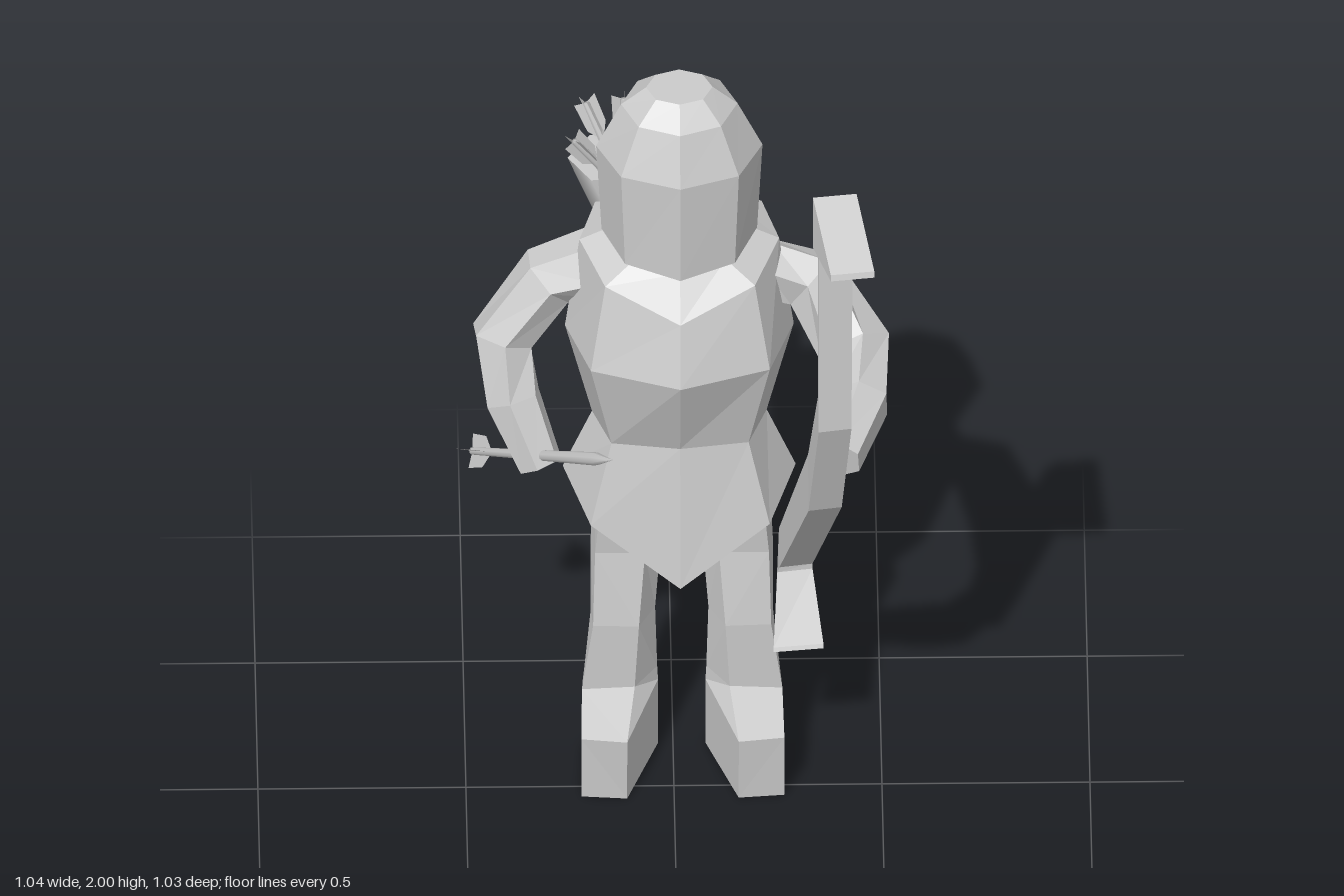
import * as THREE from 'three';
import { toCreasedNormals } from 'three/addons/utils/BufferGeometryUtils.js';

const CX = 0.015; // symmetry plane of the body
const LEG_CX = 0.021; // symmetry plane of the legs
const mat = new THREE.MeshStandardMaterial({ color: 0xcccccc, flatShading: true });
const smooth = new THREE.MeshStandardMaterial({ color: 0xcccccc });
const thin = new THREE.MeshStandardMaterial({ color: 0xcccccc, side: THREE.DoubleSide });
const V = (a) => new THREE.Vector3(...a);

// Skin a list of equal-length rings of [x, y, z], capped, always facing outward
function loft(rings) {
  const n = rings[0].length, pos = rings.flat(2), idx = [];
  for (let r = 0; r < rings.length - 1; r++)
    for (let i = 0; i < n; i++) {
      const a = r * n + i, b = r * n + (i + 1) % n;
      idx.push(a, b, b + n, a, b + n, a + n);
    }
  for (const r of [0, rings.length - 1]) {
    const c = pos.length / 3;
    pos.push(...[0, 1, 2].map((k) => rings[r].reduce((s, p) => s + p[k], 0) / n));
    for (let i = 0; i < n; i++) {
      const a = r * n + i, b = r * n + (i + 1) % n;
      r ? idx.push(a, b, c) : idx.push(b, a, c);
    }
  }
  // signed volume decides the winding
  const at = (i) => V(pos.slice(i * 3, i * 3 + 3));
  let vol = 0;
  for (let i = 0; i < idx.length; i += 3) vol += at(idx[i]).dot(at(idx[i + 1]).cross(at(idx[i + 2])));
  if (vol < 0) idx.reverse();
  const g = new THREE.BufferGeometry();
  g.setAttribute('position', new THREE.Float32BufferAttribute(pos, 3));
  g.setIndex(idx);
  g.computeVertexNormals();
  return g;
}

function add(parent, name, geo, material = mat) {
  const m = new THREE.Mesh(geo, material);
  m.name = name;
  parent.add(m);
  return m;
}

// Full ring from a front-to-back half outline
const mirrorRing = (half) => [
  ...half.map(([x, y, z]) => [CX + x, y, z]),
  ...half.slice(1, -1).reverse().map(([x, y, z]) => [CX - x, y, z]),
];

// Faceted limb: points [x, y, z, radius] along the centre line
function limb(points, ref, sides = 6) {
  const p = points.map((q) => V(q.slice(0, 3)));
  return loft(p.map((c, i) => {
    const t = p[Math.min(i + 1, p.length - 1)].clone().sub(p[Math.max(i - 1, 0)]).normalize();
    const u = new THREE.Vector3().crossVectors(t, ref).normalize();
    const w = new THREE.Vector3().crossVectors(t, u);
    return Array.from({ length: sides }, (_, k) => {
      const a = (k + 0.5) / sides * Math.PI * 2, r = points[i][3];
      return c.clone().addScaledVector(u, Math.cos(a) * r).addScaledVector(w, Math.sin(a) * r).toArray();
    });
  }));
}

// Arrow from tail to tip with four vanes
function arrow(name, tail, tip, r, vaneLength, vaneWidth) {
  const g = new THREE.Group(), a = V(tail), d = V(tip).sub(a), L = d.length();
  g.name = name;
  add(g, 'shaft', new THREE.LatheGeometry(
    [[0, 0], [r * 0.7, 0], [r, L * 0.5], [r * 1.25, L * 0.88], [0, L]].map((q) => new THREE.Vector2(...q)), 8), thin);
  const s = new THREE.Shape([[0, 0], [vaneWidth, -0.01], [vaneWidth * 0.9, vaneLength * 0.6], [0, vaneLength]]
    .map((q) => new THREE.Vector2(...q)));
  for (let i = 0; i < 4; i++) add(g, 'vane', new THREE.ShapeGeometry(s), thin).rotation.y = i * Math.PI / 2 + 0.08;
  g.position.copy(a);
  g.quaternion.setFromUnitVectors(new THREE.Vector3(0, 1, 0), d.normalize());
  return g;
}

export function createModel() {
  const root = new THREE.Group();
  root.name = 'archer';

  // Head: eight-sided rings [y, rx, rz, front drop]
  const head = [[1.6, 0.187, 0.172, 0.06], [1.82, 0.2, 0.178, 0], [1.945, 0.14, 0.13, 0], [1.995, 0.08, 0.07, 0]];
  add(root, 'head', loft(head.map(([y, rx, rz, drop]) => mirrorRing([0, 1, 2, 3, 4].map((k) => {
    const a = k * Math.PI / 4;
    return [Math.sin(a) * rx, y - drop * (1 - k / 4), -0.15 + Math.cos(a) * rz];
  })))));

  // Tunic: pointed hem, waist, chest, yoke, collar, neck
  add(root, 'tunic', loft([
    [[0, 0.635, 0.055], [0.215, 0.795, 0.01], [0.28, 0.84, -0.17], [0.19, 0.77, -0.3], [0, 0.635, -0.43]],
    [[0, 1.02, 0.005], [0.165, 1.02, -0.02], [0.21, 1.02, -0.15], [0.165, 1.02, -0.26], [0, 1.02, -0.31]],
    [[0, 1.27, 0.1], [0.215, 1.28, 0.035], [0.275, 1.28, -0.15], [0.2, 1.28, -0.3], [0, 1.27, -0.34]],
    [[0, 1.43, 0.055], [0.18, 1.5, -0.01], [0.24, 1.53, -0.16], [0.2, 1.51, -0.335], [0, 1.49, -0.385]],
    [[0, 1.53, -0.02], [0.11, 1.55, -0.05], [0.16, 1.57, -0.16], [0.12, 1.56, -0.28], [0, 1.56, -0.31]],
    [[0, 1.62, -0.05], [0.08, 1.62, -0.08], [0.11, 1.62, -0.16], [0.08, 1.62, -0.23], [0, 1.62, -0.26]],
  ].map(mirrorRing)));

  // Legs with out-turned boots
  const legRings = [
    [[0.155, 0, 0.05], [0.265, 0, 0.04], [0.26, 0, -0.15], [0.2, 0, -0.28], [0.12, 0, -0.29], [0.078, 0, -0.17]],
    [[0.155, 0.18, 0.065], [0.265, 0.18, 0.05], [0.26, 0.2, -0.15], [0.2, 0.2, -0.26], [0.12, 0.2, -0.27], [0.078, 0.2, -0.16]],
    [[0.135, 0.235, -0.085], [0.262, 0.225, -0.09], [0.255, 0.24, -0.16], [0.2, 0.25, -0.25], [0.12, 0.25, -0.26], [0.08, 0.24, -0.16]],
    [[0.125, 0.42, -0.08], [0.235, 0.42, -0.085], [0.24, 0.42, -0.15], [0.2, 0.42, -0.24], [0.12, 0.42, -0.245], [0.085, 0.42, -0.16]],
    [[0.11, 0.62, -0.11], [0.23, 0.62, -0.11], [0.24, 0.62, -0.17], [0.2, 0.62, -0.235], [0.11, 0.62, -0.235], [0.07, 0.62, -0.17]],
    [[0.1, 0.88, -0.08], [0.21, 0.86, -0.09], [0.23, 0.86, -0.17], [0.18, 0.86, -0.245], [0.1, 0.86, -0.265], [0.06, 0.88, -0.17]],
  ];
  for (const side of [1, -1])
    add(root, side > 0 ? 'leftLeg' : 'rightLeg',
      loft(legRings.map((ring) => ring.map(([x, y, z]) => [LEG_CX + side * (x - LEG_CX), y, z]))));

  // Arms
  add(root, 'leftArm', limb([
    [0.22, 1.43, -0.17, 0.08], [0.335, 1.4, -0.165, 0.083], [0.437, 1.27, -0.06, 0.09],
    [0.445, 1.23, 0.1, 0.076], [0.39, 1.195, 0.28, 0.06],
  ], new THREE.Vector3(0, 1, 0)));
  add(root, 'rightArm', limb([
    [-0.18, 1.43, -0.2, 0.09], [-0.3, 1.39, -0.2, 0.08], [-0.41, 1.23, -0.175, 0.08],
    [-0.385, 1.09, -0.11, 0.07], [-0.32, 0.94, -0.045, 0.055],
  ], new THREE.Vector3(0, 0, 1)));

  // Recurved bow: [back z, back y, front z, front y, x min, x max], slightly yawed
  const bow = [
    [0.51, 1.925, 0.515, 1.91, 0.37, 0.475],
    [0.3, 2, 0.35, 1.885, 0.33, 0.435],
    [0.23, 1.88, 0.345, 1.865, 0.343, 0.425],
    [0.27, 1.38, 0.365, 1.34, 0.343, 0.422],
    [0.175, 1.13, 0.255, 1.02, 0.32, 0.4],
    [-0.19, 0.63, -0.12, 0.565, 0.255, 0.335],
    [-0.21, 0.46, -0.12, 0.55, 0.25, 0.335],
    [-0.02, 0.385, -0.025, 0.395, 0.24, 0.36],
  ];
  add(root, 'bow', loft(bow.map(([bz, by, fz, fy, x0, x1]) =>
    [[x0, by, bz], [x1, by, bz - 0.014], [x1, fy, fz - 0.014], [x0, fy, fz]])));

  // Slanted quiver: [y, centre x, centre z, rx, rz]
  const quiver = loft([
    [0.9, 0.103, -0.397, 0.07, 0.054], [1.05, 0.063, -0.41, 0.1, 0.085], [1.25, 0, -0.415, 0.115, 0.105],
    [1.42, -0.07, -0.415, 0.116, 0.108], [1.585, -0.14, -0.412, 0.11, 0.104],
  ].map(([y, x, z, rx, rz]) => Array.from({ length: 6 }, (_, i) => {
    const a = i * Math.PI / 3;
    return [x + Math.cos(a) * rx, y + (y < 1 ? 0.03 * Math.cos(a) : 0), z + Math.sin(a) * rz];
  })));
  add(root, 'quiver', toCreasedNormals(quiver, 1.2), smooth);

  // Arrows in the quiver and in the right hand
  for (const [tail, tip] of [
    [[-0.115, 1.755, -0.42], [-0.11, 1.4, -0.42]],
    [[-0.205, 1.695, -0.485], [-0.1, 1.45, -0.43]],
    [[-0.235, 1.69, -0.34], [-0.08, 1.45, -0.41]],
  ]) root.add(arrow('quiverArrow', tail, tip, 0.012, 0.11, 0.03));
  root.add(arrow('heldArrow', [-0.48, 0.78, -0.31], [-0.15, 1.19, 0.27], 0.013, 0.11, 0.042));

  return root;
}
